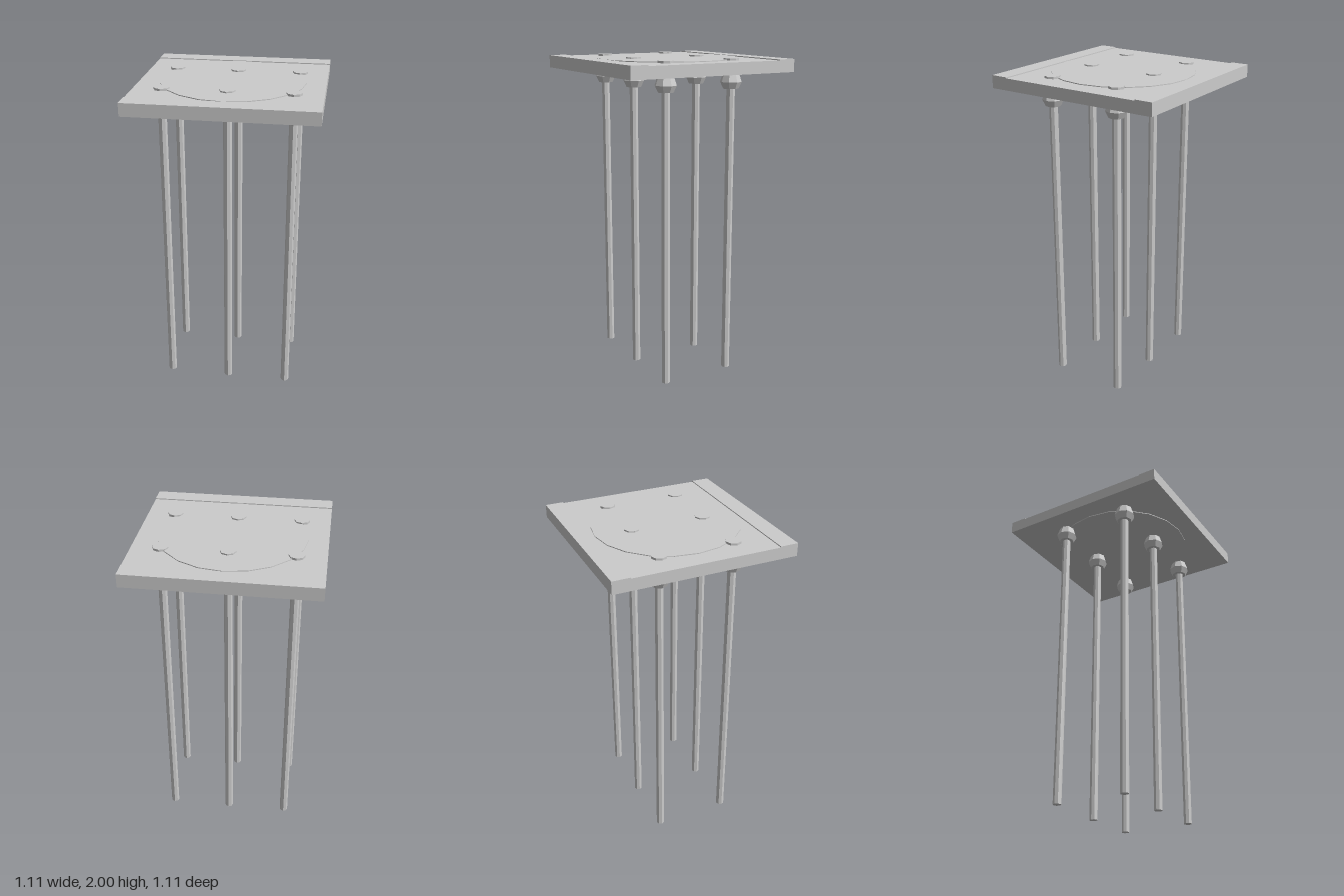
import * as THREE from 'three';

const material = new THREE.MeshStandardMaterial({ color: 0xcccccc, flatShading: true });

function add(parent, name, geometry, x, y, z) {
  const mesh = new THREE.Mesh(geometry, material);
  mesh.name = name;
  mesh.position.set(x, y, z);
  parent.add(mesh);
  return mesh;
}

export function createModel() {
  const model = new THREE.Group();
  model.name = 'table';

  // Square top with a shallow wide recess running from side to side
  const half = 0.557, rail = 0.447, bottom = 1.915, floor = 1.987, top = 1.993;
  const profile = new THREE.Shape([
    [-half, bottom], [half, bottom], [half, top], [rail, top],
    [rail, floor], [-rail, floor], [-rail, top], [-half, top],
  ].map(([z, y]) => new THREE.Vector2(z, y)));
  const slab = new THREE.ExtrudeGeometry(profile, { depth: 2 * half, bevelEnabled: false });
  slab.translate(0, 0, -half).rotateY(Math.PI / 2);
  add(model, 'tabletop', slab, 0, 0, 0);

  // Round inlay, just proud of the recess and of the underside
  add(model, 'roundInlay', new THREE.CylinderGeometry(0.44, 0.44, 0.082, 20), 0, 1.951, 0);

  // Six legs, each with a faceted collar below and a cap above the top
  const collar = new THREE.LatheGeometry(
    [[0, 1.82], [0.047, 1.82], [0.066, 1.86], [0.047, 1.917], [0, 1.917]]
      .map(([r, y]) => new THREE.Vector2(r, y)), 8);
  const cap = new THREE.CylinderGeometry(0.047, 0.047, 0.085, 8);
  for (const x of [-0.386, 0, 0.386]) {
    for (const z of [-0.215, 0.24]) {
      const leg = new THREE.Group();
      leg.name = 'leg';
      leg.position.set(x, 0, z);
      const foot = x < 0 ? 0.01 : 0;
      const length = 1.85 - foot;
      add(leg, 'legPole', new THREE.CylinderGeometry(0.026, 0.026, length, 8), 0, foot + length / 2, 0);
      add(leg, 'legCollar', collar, 0, 0, 0);
      add(leg, 'legCap', cap, 0, 1.9575, 0);
      model.add(leg);
    }
  }
  return model;
}
